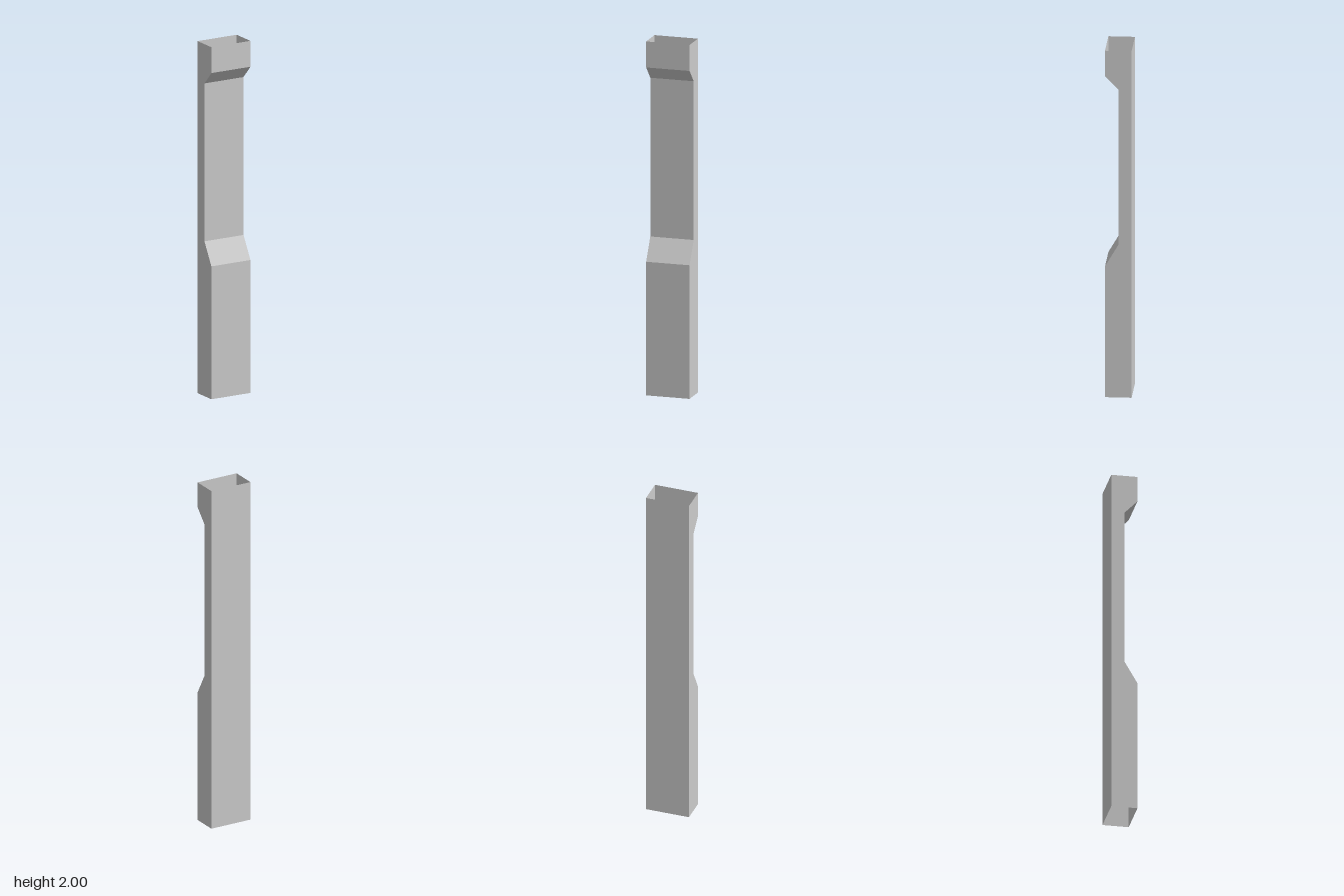
import * as THREE from 'three';

const HALF_WIDTH = 0.125;
const BACK = -0.073;

// Height and front depth of each rectangular cross-section, bottom to top
const SECTIONS = [
  [0, 0.073],
  [0.755, 0.073],
  [0.88, 0],
  [1.777, 0],
  [1.853, 0.073],
  [2, 0.073],
];

// Corners of one cross-section, front left round to back left
const ring = ([y, front]) => [
  [-HALF_WIDTH, y, front],
  [HALF_WIDTH, y, front],
  [HALF_WIDTH, y, BACK],
  [-HALF_WIDTH, y, BACK],
];

// Flat walls joining consecutive cross-sections, open at both ends
function openTube(sections) {
  const positions = [];
  for (let s = 0; s < sections.length - 1; s++) {
    const low = ring(sections[s]);
    const high = ring(sections[s + 1]);
    for (let i = 0; i < 4; i++) {
      const j = (i + 1) % 4;
      for (const p of [low[i], low[j], high[j], low[i], high[j], high[i]]) positions.push(...p);
    }
  }
  const geometry = new THREE.BufferGeometry();
  geometry.setAttribute('position', new THREE.Float32BufferAttribute(positions, 3));
  geometry.computeVertexNormals();
  return geometry;
}

export function createModel() {
  const group = new THREE.Group();
  group.name = 'recessedPost';

  // Thin hollow post with a sloped recess in its front
  const material = new THREE.MeshStandardMaterial({
    color: 0xcccccc,
    flatShading: true,
    side: THREE.DoubleSide,
  });
  const shell = new THREE.Mesh(openTube(SECTIONS), material);
  shell.name = 'postShell';
  group.add(shell);

  return group;
}
